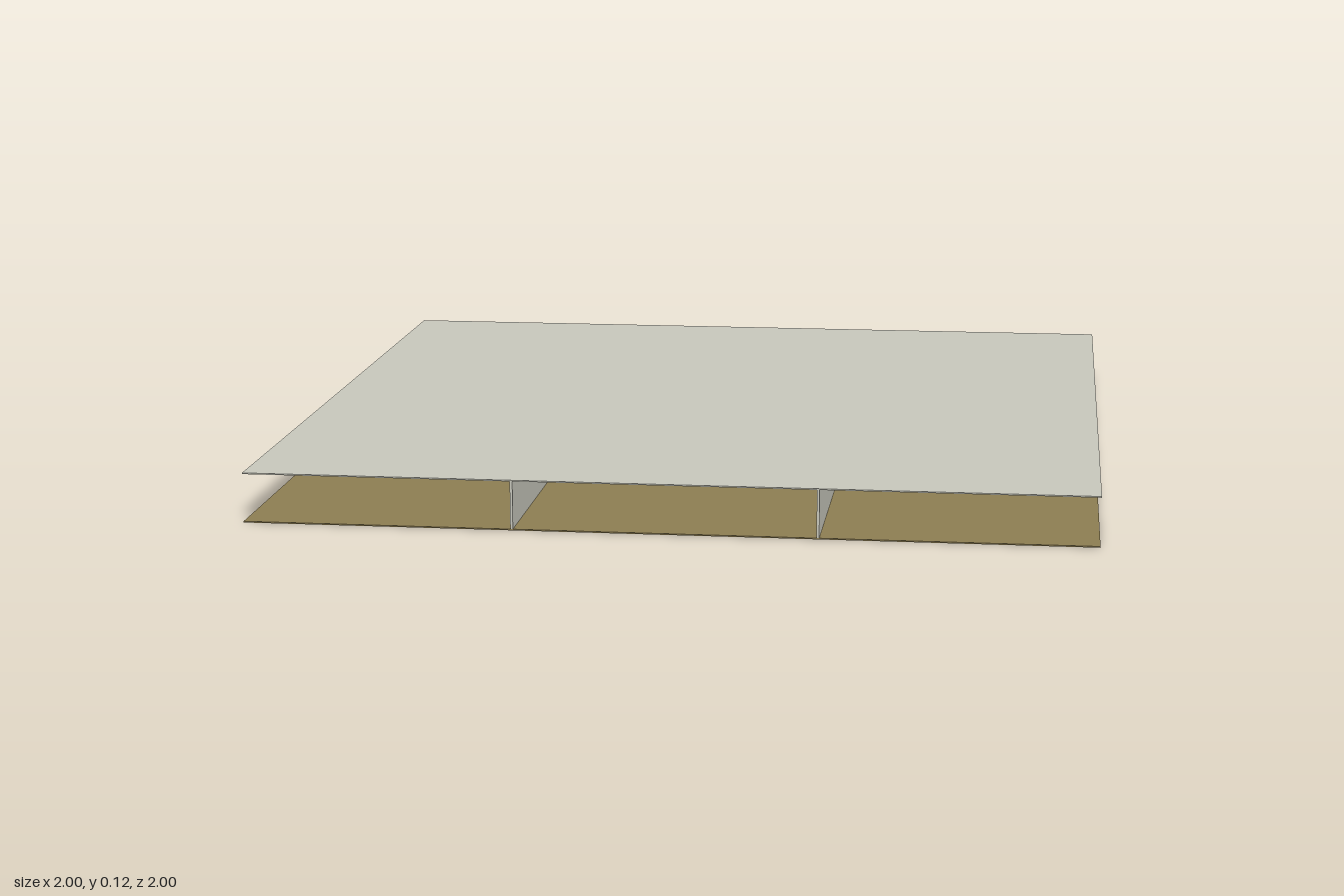
import * as THREE from 'three';

const H = 0.12;      // ceiling height
const T = 0.006;     // wall thickness
const SLAB = 0.003;  // floor and ceiling thickness

export function createModel() {
  const group = new THREE.Group();
  const plaster = new THREE.MeshStandardMaterial({ color: 0xc6c6bb });
  plaster.name = 'pale grey plaster';
  const carpet = new THREE.MeshStandardMaterial({ color: 0x8c7d52 });
  carpet.name = 'olive carpet';

  // box given by its ranges on each axis
  const box = (name, mat, x0, x1, y0, y1, z0, z1) => {
    const mesh = new THREE.Mesh(new THREE.BoxGeometry(x1 - x0, y1 - y0, z1 - z0), mat);
    mesh.position.set((x0 + x1) / 2, (y0 + y1) / 2, (z0 + z1) / 2);
    mesh.name = name;
    group.add(mesh);
  };

  box('floor', carpet, -1, 1, 0, SLAB, -1, 1);
  box('ceiling', plaster, -1, 1, H - SLAB, H, -1, 1);

  // walls running left to right: z, from x, to x
  const crossWalls = [
    [0.36, -1, -0.45], [0.36, 0.335, 1],
    [-0.36, -1, -0.4], [-0.36, 0.115, 1],
    [-0.175, -0.4, -0.1],
  ];
  for (const [z, a, b] of crossWalls) {
    box('crossWall', plaster, a, b, SLAB, H - SLAB, z - T / 2, z + T / 2);
  }

  // walls running back to front: x, from z, to z
  const lengthWalls = [
    [-0.36, 0.43, 1], [0.355, 0.43, 1],
    [-0.36, -1, -0.45], [0.355, -1, -0.5],
    [-0.36, -0.125, 0.325], [-0.103, -0.125, 0.01],
    [0.115, -0.36, -0.135], [0.355, -0.39, -0.28],
    [-0.4, -0.415, -0.175],
  ];
  for (const [x, a, b] of lengthWalls) {
    box('lengthWall', plaster, x - T / 2, x + T / 2, SLAB, H - SLAB, a, b);
  }

  // low square block in the middle room
  box('lowBlock', plaster, -0.1, 0.045, SLAB, 0.05, 0.07, 0.215);

  return group;
}
